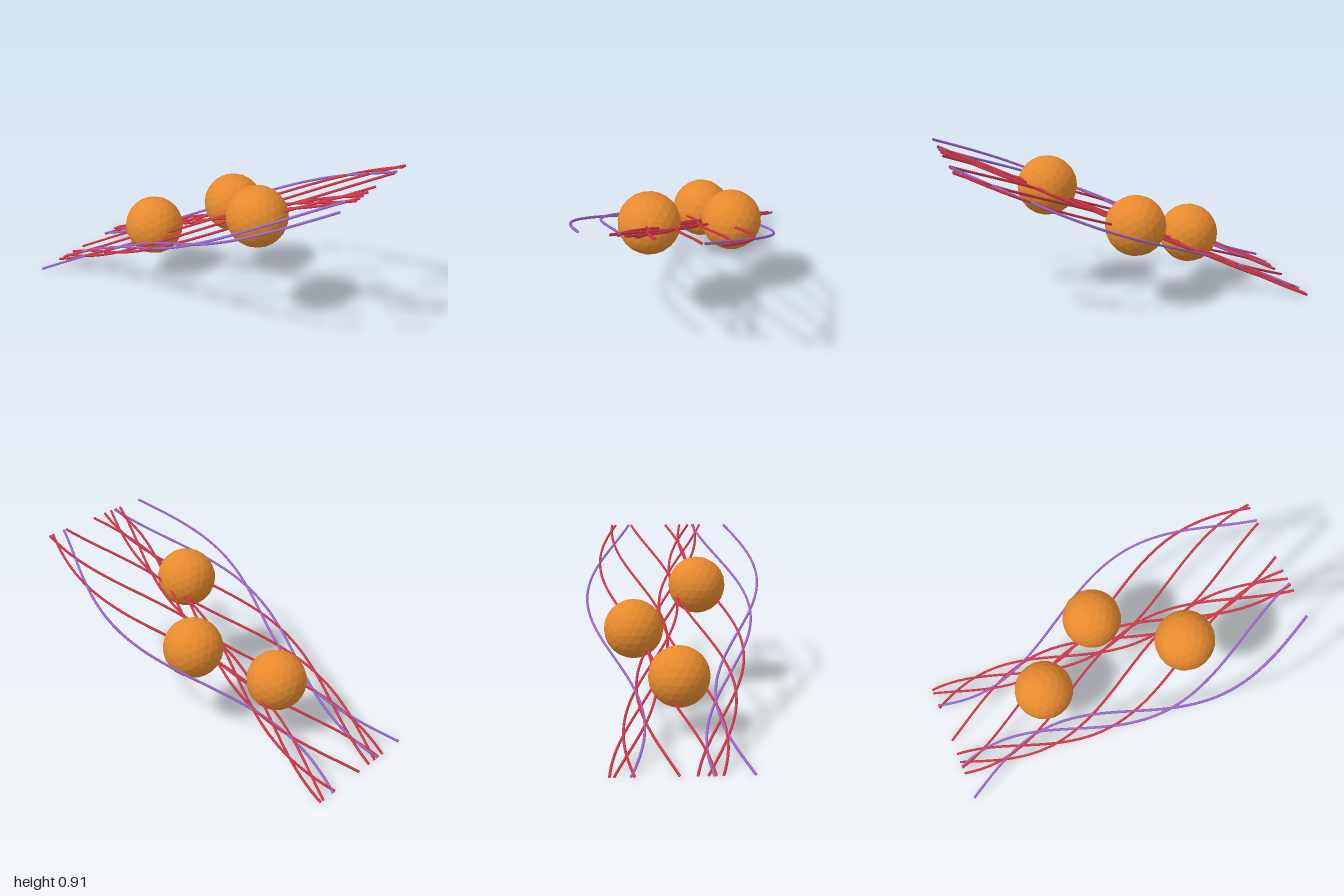
import * as THREE from 'three';

const orange = new THREE.MeshStandardMaterial({ color: 0xe88b2e });
orange.name = 'orange';
orange.flatShading = true;
const red = new THREE.MeshStandardMaterial({ color: 0xcf3648, side: THREE.DoubleSide });
red.name = 'crimson';
const purple = new THREE.MeshStandardMaterial({ color: 0x9b66cc, side: THREE.DoubleSide });
purple.name = 'purple';

// A wave strand lying in the sloped plane; each one is shifted by one radian
class StrandCurve extends THREE.Curve {
  constructor(index) {
    super();
    this.index = index;
  }
  getPoint(t, target = new THREE.Vector3()) {
    const x = 2 * t - 1;
    const z = 0.07 * this.index + 0.16 * Math.sin(Math.PI * x - this.index + 5);
    return target.set(x * 0.997, 0.455 + 0.448 * x, z);
  }
}

export function createModel() {
  const model = new THREE.Group();
  model.name = 'strandsWithBeads';

  // Eleven strands, the outer ones purple
  const strands = new THREE.Group();
  strands.name = 'strands';
  for (let i = -5; i <= 5; i++) {
    const tube = new THREE.TubeGeometry(new StrandCurve(i), 64, 0.0072, 8, false);
    const strand = new THREE.Mesh(tube, i === -5 || i >= 4 ? purple : red);
    strand.name = `strand${i + 6}`;
    strands.add(strand);
  }
  model.add(strands);

  // Three faceted beads resting among the strands
  const beadGeometry = new THREE.IcosahedronGeometry(0.168, 3);
  const beads = [[-0.4, 0.327, 0], [0, 0.486, -0.24], [0.4, 0.645, 0.14]];
  beads.forEach((position, i) => {
    const bead = new THREE.Mesh(beadGeometry, orange);
    bead.name = `bead${i + 1}`;
    bead.position.set(...position);
    model.add(bead);
  });

  return model;
}
